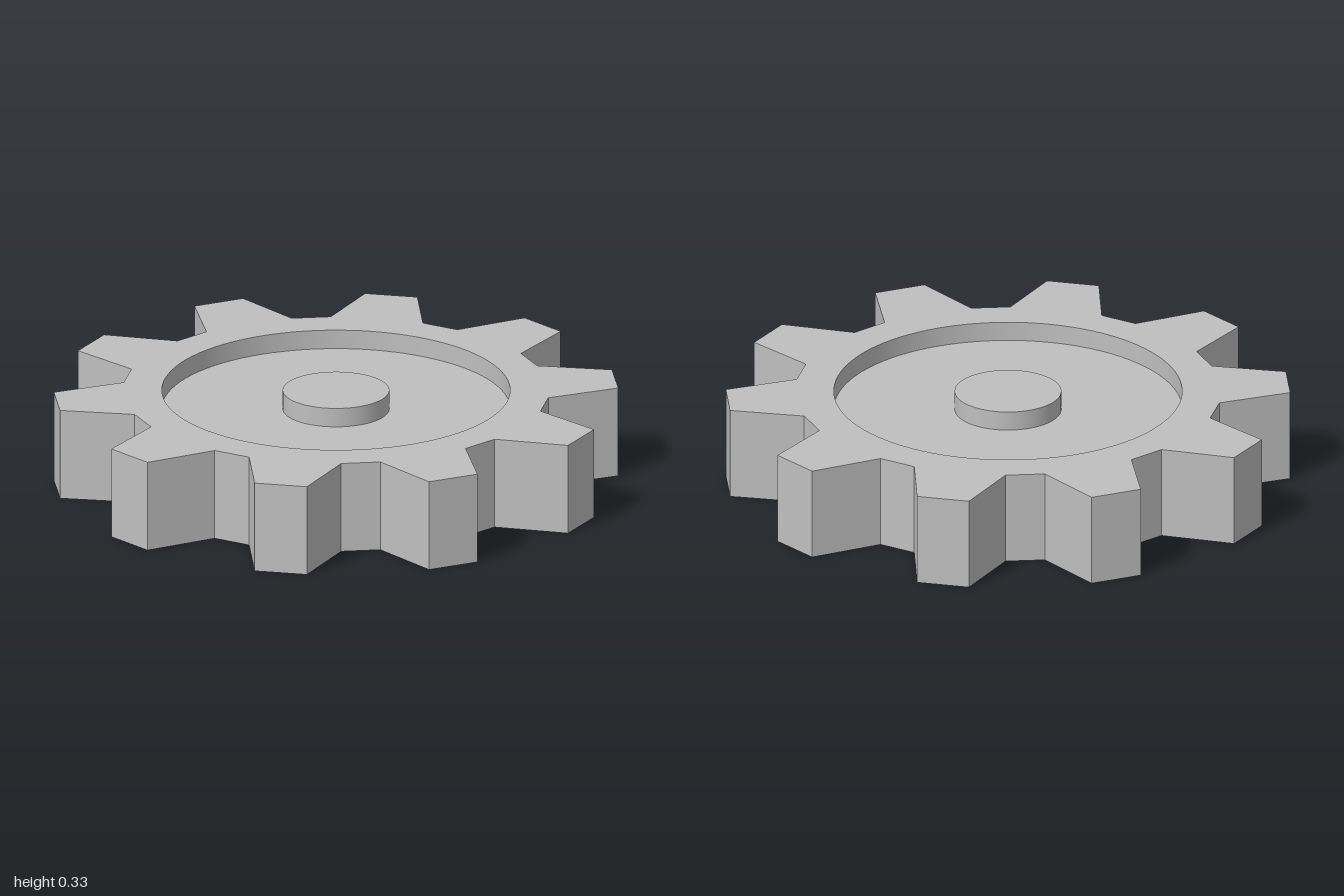
import * as THREE from 'three';
import { toCreasedNormals } from 'three/addons/utils/BufferGeometryUtils.js';

const TEETH = 10;
const HEIGHT = 0.333;
const RECESS = 0.07;
const RECESS_RADIUS = 0.62;
const HUB_RADIUS = 0.19;

// Outline of one tooth pointing along +x: root, tip, tip, root
const TOOTH = [[0.741, -0.167], [1, -0.095], [1, 0.095], [0.741, 0.167]];

function gearShape() {
  const points = [];
  for (let i = 0; i < TEETH; i++) {
    const angle = (i / TEETH) * Math.PI * 2;
    for (const [x, y] of TOOTH) {
      points.push(new THREE.Vector2(x, y).rotateAround(new THREE.Vector2(), angle));
    }
  }
  const shape = new THREE.Shape(points);
  shape.holes.push(new THREE.Path().absarc(0, 0, RECESS_RADIUS, 0, Math.PI * 2, true));
  return shape;
}

export function createModel() {
  const steel = new THREE.MeshStandardMaterial({ color: 0xbfbfbf });
  steel.name = 'steel grey';
  const group = new THREE.Group();
  group.name = 'gear';

  const add = (name, geometry, y) => {
    const mesh = new THREE.Mesh(geometry, steel);
    mesh.name = name;
    mesh.position.y = y;
    group.add(mesh);
  };

  // Toothed rim, open in the middle
  const rim = new THREE.ExtrudeGeometry(gearShape(), {
    depth: HEIGHT, bevelEnabled: false, curveSegments: 48,
  });
  rim.rotateX(-Math.PI / 2);
  add('toothedRim', toCreasedNormals(rim, 0.4), 0);

  // Thin web, recessed on both sides
  add('web', new THREE.CylinderGeometry(RECESS_RADIUS + 0.005, RECESS_RADIUS + 0.005, HEIGHT - 2 * RECESS, 96), HEIGHT / 2);

  // Hub, flush with the rim above and below
  add('hub', new THREE.CylinderGeometry(HUB_RADIUS, HUB_RADIUS, HEIGHT, 64), HEIGHT / 2);

  return group;
}
